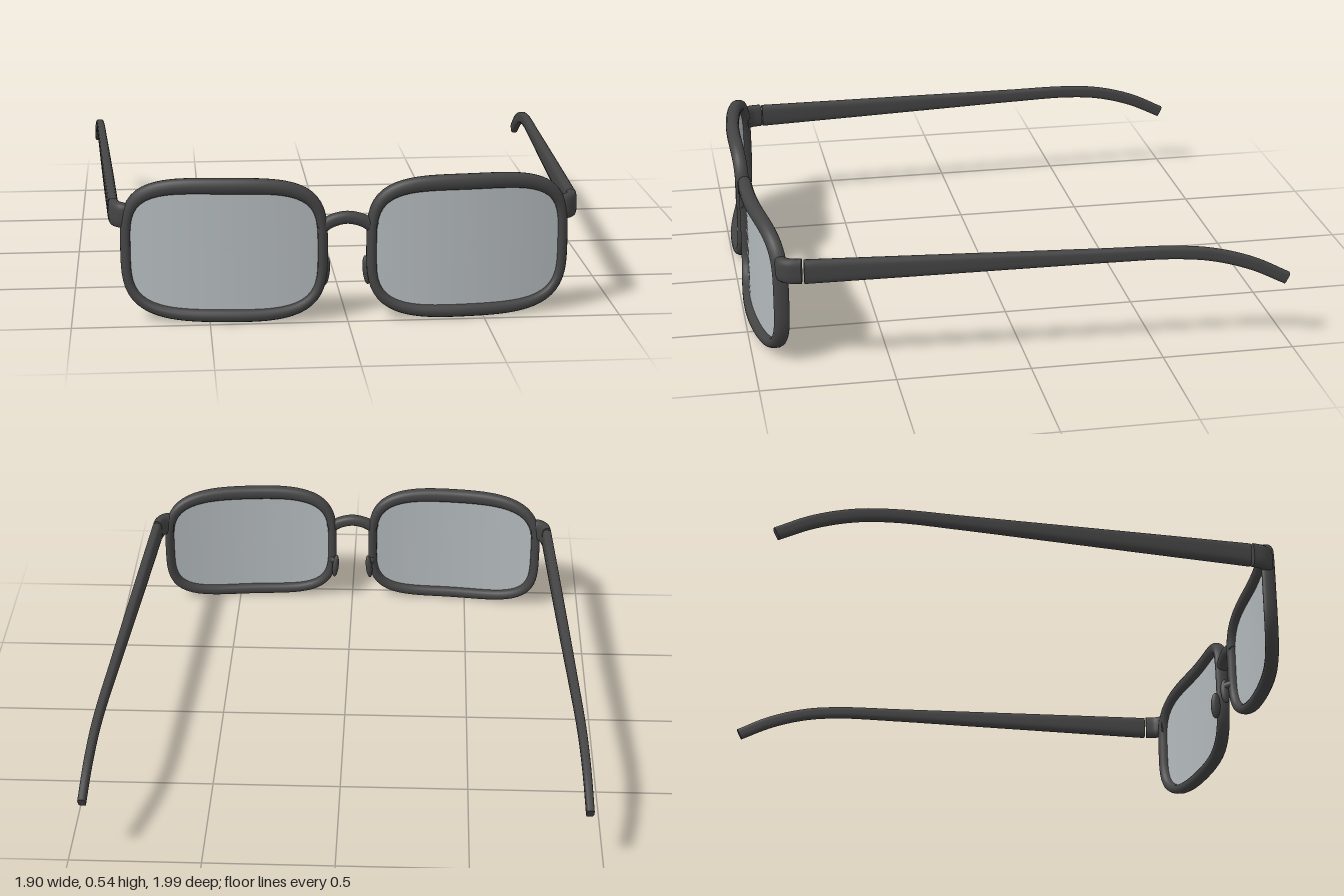
import * as THREE from 'three';

const frameMat = new THREE.MeshStandardMaterial({ color: 0x444444 });
frameMat.name = 'dark frame';
const lensMat = new THREE.MeshStandardMaterial({ color: 0xb4babd, side: THREE.DoubleSide });
lensMat.name = 'pale lens';

const V = (x, y, z) => new THREE.Vector3(x, y, z);

// Radius of a superellipse at a polar angle
const radius = (ang, a, b, n) =>
  (Math.abs(Math.cos(ang) / a) ** n + Math.abs(Math.sin(ang) / b) ** n) ** (-1 / n);

// Forward wrap of the front: depth for a given x
const frontZ = (x) => 0.97 - 0.31 * (x - 0.3) ** 2;

// Skin over equal-sized rings of points; closed joins the last ring to the first
function loft(rings, closed = false) {
  const m = rings[0].length, index = [];
  const count = closed ? rings.length : rings.length - 1;
  for (let i = 0; i < count; i++) {
    for (let j = 0; j < m; j++) {
      const k = (j + 1) % m, next = (i + 1) % rings.length;
      const a = i * m + j, b = i * m + k, c = next * m + j, d = next * m + k;
      index.push(a, b, c, b, d, c);
    }
  }
  const geo = new THREE.BufferGeometry().setFromPoints(rings.flat());
  geo.setIndex(index);
  geo.computeVertexNormals();
  return geo;
}

// Capped bar along points [x, y, z, width, height], with section squareness n
function sweep(points, steps, n) {
  const path = new THREE.CatmullRomCurve3(points.map((p) => V(p[0], p[1], p[2])));
  const size = new THREE.CatmullRomCurve3(points.map((p) => V(p[3], p[4], 0)));
  const rings = [];
  for (let i = 0; i <= steps; i++) {
    const c = path.getPoint(i / steps), t = path.getTangent(i / steps), s = size.getPoint(i / steps);
    const side = V(0, 1, 0).cross(t).normalize(), up = t.clone().cross(side);
    const ring = [];
    for (let j = 0; j < 24; j++) {
      const ang = (j / 24) * Math.PI * 2, r = radius(ang, 1, 1, n) / 2;
      ring.push(c.clone().addScaledVector(side, r * Math.cos(ang) * s.x)
        .addScaledVector(up, r * Math.sin(ang) * s.y));
    }
    if (i === 0) rings.push(ring.map(() => c), ring);
    rings.push(ring);
    if (i === steps) rings.push(ring, ring.map(() => c));
  }
  return loft(rings);
}

const CX = 0.445;
const outer = (ang) => {
  const r = radius(ang, 0.375, 0.268, 3.5);
  return V(CX + r * Math.cos(ang), 0.273 + r * Math.sin(ang), 0);
};
const inner = (ang) => {
  const r = radius(ang, 0.338, 0.217, 4);
  return V(CX + r * Math.cos(ang), 0.267 + r * Math.sin(ang), 0);
};

// Rounded rim following the curve of the front
function rimGeometry() {
  const rings = [];
  for (let i = 0; i < 96; i++) {
    const ang = (i / 96) * Math.PI * 2, o = outer(ang), q = inner(ang);
    const c = o.clone().add(q).multiplyScalar(0.5), half = o.sub(q).multiplyScalar(0.5);
    const ring = [];
    for (let j = 0; j < 16; j++) {
      const a = (j / 16) * Math.PI * 2, r = radius(a, 1, 1, 2.5);
      const p = c.clone().addScaledVector(half, r * Math.cos(a));
      p.z = frontZ(p.x) - r * Math.sin(a) * 0.027;
      ring.push(p);
    }
    rings.push(ring);
  }
  return loft(rings, true);
}

// Thin curved lens, edge tucked inside the rim
function lensGeometry() {
  const rings = [], centre = V(CX, 0.267, 0);
  for (let k = 10; k >= 0; k--) {
    const ring = [];
    for (let i = 0; i < 96; i++) {
      const p = centre.clone().lerp(inner((i / 96) * Math.PI * 2), (k / 10) * 1.03);
      p.z = frontZ(p.x);
      ring.push(p);
    }
    rings.push(ring);
  }
  return loft(rings);
}

// Copy reflected to the other side, with corner order restored
function mirrored(geo) {
  const g = geo.clone().scale(-1, 1, 1), idx = g.index.array;
  for (let i = 0; i < idx.length; i += 3) [idx[i], idx[i + 1]] = [idx[i + 1], idx[i]];
  g.computeVertexNormals();
  return g;
}

export function createModel() {
  const model = new THREE.Group();
  model.name = 'eyeglasses';
  const add = (name, geo, mat) => {
    const mesh = new THREE.Mesh(geo, mat);
    mesh.name = name;
    model.add(mesh);
  };
  const addPair = (name, geo, mat = frameMat) => {
    add('left' + name, geo, mat);
    add('right' + name, mirrored(geo), mat);
  };

  addPair('Rim', rimGeometry());
  addPair('Lens', lensGeometry(), lensMat);

  // Arched bridge between the rims
  add('bridge', sweep([
    [-0.1, 0.345, 0.957, 0.046, 0.046], [-0.06, 0.372, 0.957, 0.046, 0.046],
    [0, 0.386, 0.957, 0.046, 0.046],
    [0.06, 0.372, 0.957, 0.046, 0.046], [0.1, 0.345, 0.957, 0.046, 0.046],
  ], 24, 2.5), frameMat);

  // Nose pads on short arms behind the inner rims
  const pad = new THREE.SphereGeometry(1, 20, 14).scale(0.014, 0.055, 0.02);
  addPair('NosePad', pad.rotateZ(0.1).translate(0.074, 0.175, 0.919));
  addPair('NosePadArm', sweep([
    [0.095, 0.2, 0.95, 0.02, 0.03], [0.09, 0.2, 0.935, 0.02, 0.03], [0.078, 0.195, 0.917, 0.02, 0.03],
  ], 8, 2));

  // Corner pieces turning from the rim to the temples
  addPair('Hinge', sweep([
    [0.785, 0.393, 0.893, 0.04, 0.085], [0.812, 0.393, 0.886, 0.045, 0.09],
    [0.834, 0.393, 0.86, 0.043, 0.092], [0.843, 0.393, 0.818, 0.04, 0.092],
  ], 16, 4));

  // Tapering temples bending down behind the ear
  const templeX = (z) => 0.844 + (0.81 - z) * 0.0505;
  addPair('Temple', sweep([
    [0.81, 0.391, 0.04, 0.09], [0.4, 0.391, 0.04, 0.076], [0, 0.391, 0.038, 0.062],
    [-0.3, 0.391, 0.035, 0.052], [-0.55, 0.389, 0.033, 0.048], [-0.7, 0.372, 0.032, 0.048],
    [-0.85, 0.328, 0.031, 0.048], [-0.985, 0.262, 0.03, 0.046],
  ].map(([z, y, w, h]) => [templeX(z), y, z, w, h]), 48, 4));

  return model;
}
